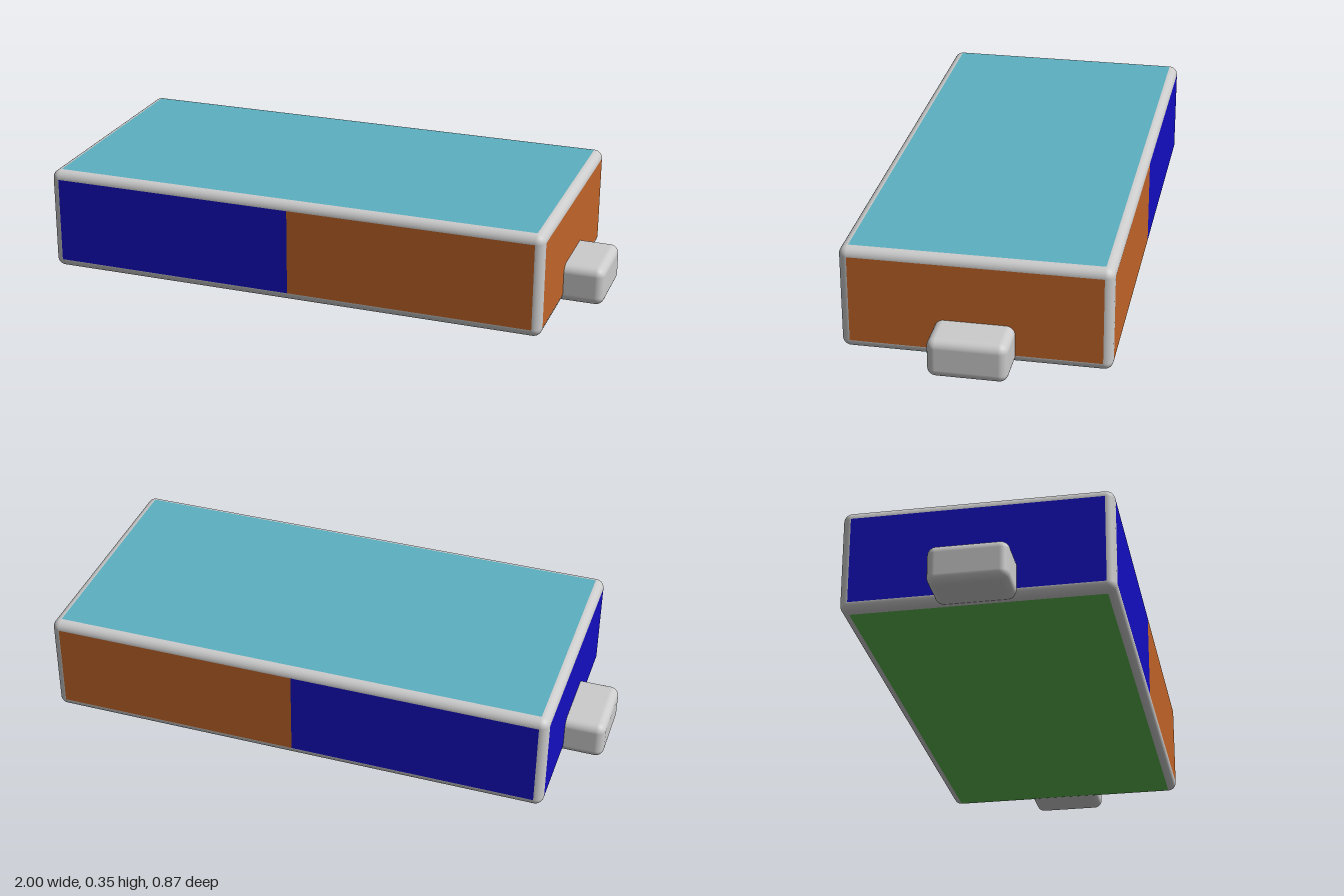
import * as THREE from 'three';
import { RoundedBoxGeometry } from 'three/addons/geometries/RoundedBoxGeometry.js';

const ORANGE = 0xc06428, BLUE = 0x130dc0, CYAN = 0x5cb0c2, GREEN = 0x5cb84f, GREY = 0xcccccc;
const LENGTH = 1.73, HEIGHT = 0.353, DEPTH = 0.868, RADIUS = 0.029;
const GAP = 0.0006; // lifts the colour panels just off the shell

export function createModel() {
  const model = new THREE.Group();
  model.name = 'twoToneBlock';

  const add = (name, geometry, color, position, rotation = [0, 0, 0]) => {
    const mesh = new THREE.Mesh(geometry, new THREE.MeshStandardMaterial({ color }));
    mesh.name = name;
    mesh.position.set(...position);
    mesh.rotation.set(...rotation);
    model.add(mesh);
  };

  // Grey shell whose rounded edges frame the panels
  const midY = HEIGHT / 2 + GAP;
  add('shell', new RoundedBoxGeometry(LENGTH, HEIGHT, DEPTH, 5, RADIUS), GREY, [0, midY, 0]);

  // Flat panel sizes inside the rounded edges
  const w = LENGTH - 2 * RADIUS, h = HEIGHT - 2 * RADIUS, d = DEPTH - 2 * RADIUS;

  // Top and bottom panels
  add('topPanel', new THREE.PlaneGeometry(w, d), CYAN, [0, HEIGHT + 2 * GAP, 0], [-Math.PI / 2, 0, 0]);
  add('bottomPanel', new THREE.PlaneGeometry(w, d), GREEN, [0, 0, 0], [Math.PI / 2, 0, 0]);

  // Each half: front, back and end panels in one colour, plus an end tab
  for (const [side, s, color] of [['left', 1, ORANGE], ['right', -1, BLUE]]) {
    const halfPanel = new THREE.PlaneGeometry(w / 2, h);
    add(side + 'FrontPanel', halfPanel, color, [s * w / 4, midY, DEPTH / 2 + GAP]);
    add(side + 'BackPanel', halfPanel, color, [s * w / 4, midY, -DEPTH / 2 - GAP], [0, Math.PI, 0]);
    add(side + 'EndPanel', new THREE.PlaneGeometry(d, h), color,
      [s * (LENGTH / 2 + GAP), midY, 0], [0, s * Math.PI / 2, 0]);
    add(side + 'Tab', new RoundedBoxGeometry(0.17, 0.132, 0.256, 5, RADIUS), GREY, [s * 0.915, 0.067, 0]);
  }
  return model;
}
